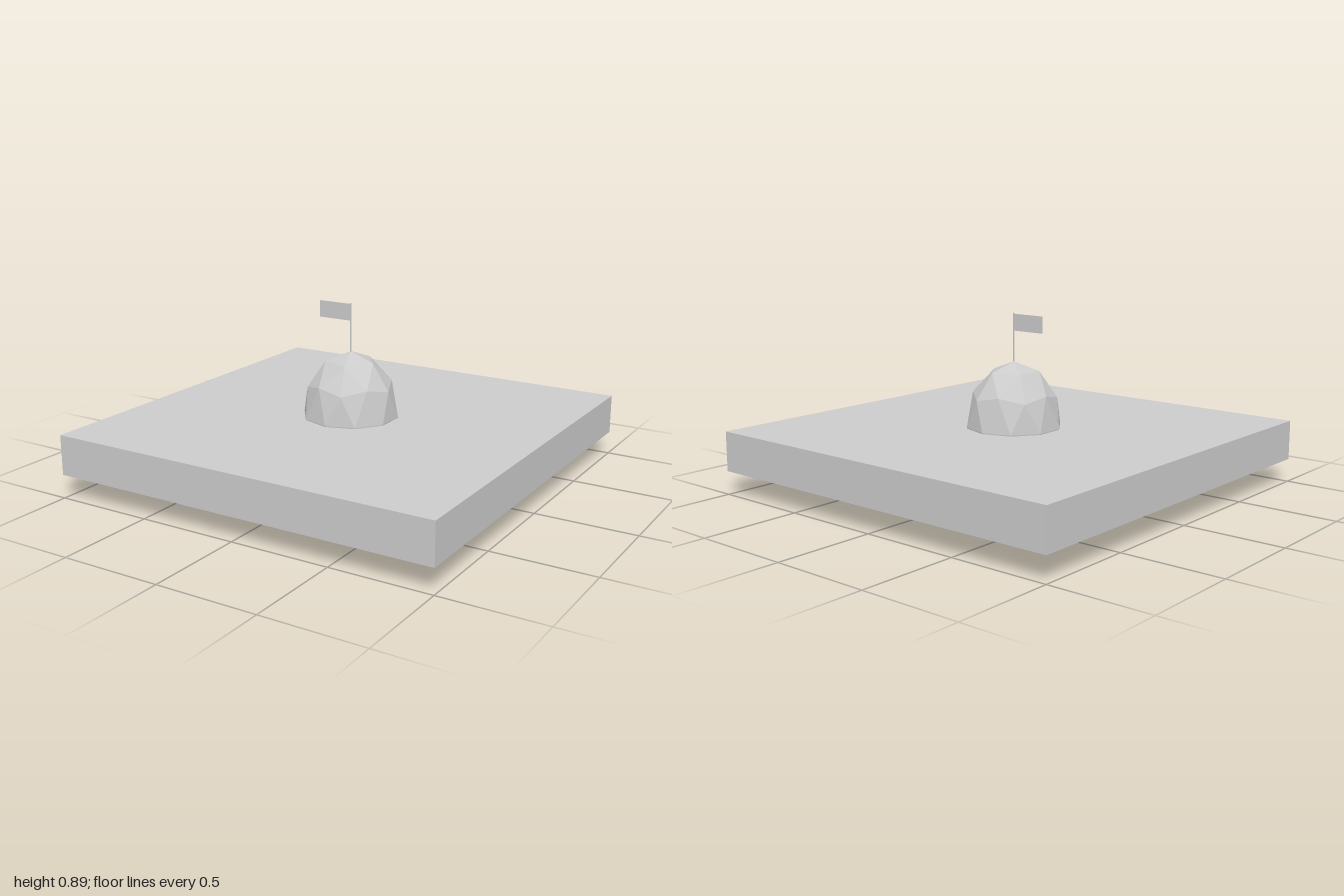
import * as THREE from 'three';

export function createModel() {
  const model = new THREE.Group();
  const material = new THREE.MeshStandardMaterial({ color: 0xcccccc, flatShading: true });

  function add(name, geometry, x, y, z) {
    const mesh = new THREE.Mesh(geometry, material);
    mesh.name = name;
    mesh.position.set(x, y, z);
    model.add(mesh);
  }

  // Square slab
  add('slab', new THREE.BoxGeometry(2, 0.2, 2), 0, 0.22, 0);

  // Tall faceted ball through the slab, turned so one vertex points straight up
  const ball = new THREE.IcosahedronGeometry(1, 1);
  ball.rotateZ(-Math.atan(2 / (1 + Math.sqrt(5))));
  ball.scale(0.24, 0.323, 0.24);
  add('ball', ball, 0, 0.325, 0);

  // Thin pole on the top of the ball, with a flag towards -x
  add('flagPole', new THREE.CylinderGeometry(0.004, 0.004, 0.26, 8), 0, 0.758, 0);
  add('flag', new THREE.BoxGeometry(0.177, 0.083, 0.005), -0.0885, 0.842, 0);

  return model;
}
